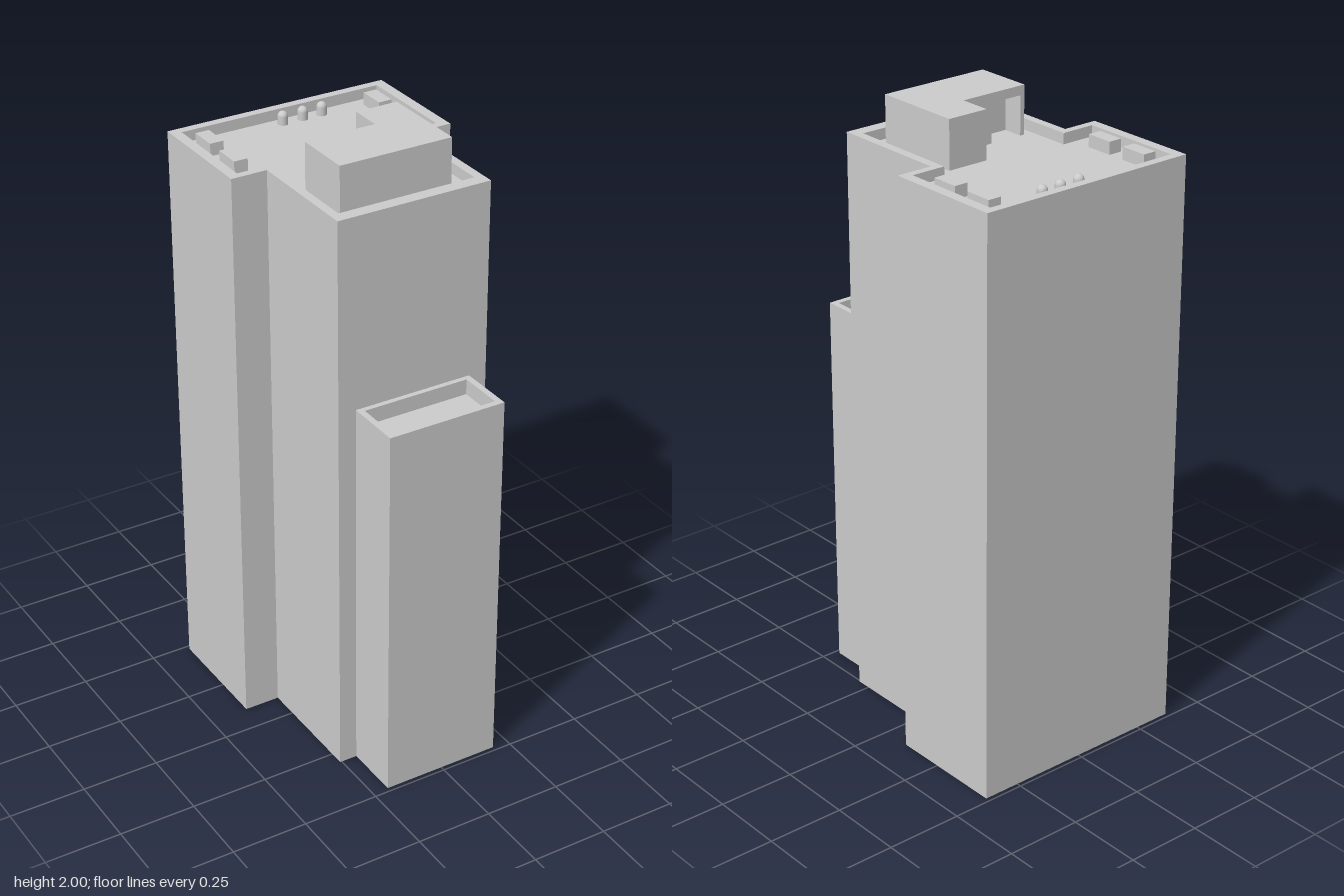
import * as THREE from 'three';

const material = new THREE.MeshStandardMaterial({ color: 0xcccccc, side: THREE.DoubleSide });

function add(parent, name, geometry, x = 0, y = 0, z = 0) {
  const mesh = new THREE.Mesh(geometry, material);
  mesh.name = name;
  mesh.position.set(x, y, z);
  parent.add(mesh);
  return mesh;
}

// Vertical walls along a plan path of [x, z] points, counterclockwise from above
function walls(path, y0, y1, closed = false) {
  const pos = [];
  const count = closed ? path.length : path.length - 1;
  for (let i = 0; i < count; i++) {
    const [ax, az] = path[i];
    const [bx, bz] = path[(i + 1) % path.length];
    pos.push(ax, y0, az, bx, y0, bz, bx, y1, bz, ax, y0, az, bx, y1, bz, ax, y1, az);
  }
  const g = new THREE.BufferGeometry();
  g.setAttribute('position', new THREE.Float32BufferAttribute(pos, 3));
  g.computeVertexNormals();
  return g;
}

const points = (path) => path.map(([x, z]) => new THREE.Vector2(x, -z));

// Horizontal surface from a plan path, with an optional hole
function slab(path, hole) {
  const shape = new THREE.Shape(points(path));
  if (hole) shape.holes.push(new THREE.Path(points(hole)));
  return new THREE.ShapeGeometry(shape).rotateX(-Math.PI / 2);
}

// Solid block raised from a plan path
function block(path, depth) {
  const shape = new THREE.Shape(points(path));
  return new THREE.ExtrudeGeometry(shape, { depth, bevelEnabled: false }).rotateX(-Math.PI / 2);
}

// Parapet rim, its inner faces and the sunken roof
function roof(parent, name, outer, inner, top, floor) {
  add(parent, name + 'ParapetTop', slab(outer, inner), 0, top, 0);
  add(parent, name + 'ParapetInside', walls([...inner].reverse(), floor, top, true));
  add(parent, name + 'Roof', slab(inner), 0, floor, 0);
}

export function createModel() {
  const group = new THREE.Group();
  group.name = 'towerBlock';
  const TOP = 1.88, FLOOR = 1.845, LOW_TOP = 1.26, LOW_FLOOR = 1.21;

  // Main T-shaped tower, open underneath and towards the front annex
  const outer = [
    [0.195, 0.298], [0.254, 0.298], [0.254, -0.095], [0.373, -0.095], [0.373, -0.485],
    [-0.373, -0.485], [-0.373, -0.095], [-0.256, -0.095], [-0.256, 0.298], [-0.197, 0.298],
  ];
  const inner = [
    [0.225, 0.256], [0.225, -0.12], [0.339, -0.12], [0.339, -0.457],
    [-0.34, -0.457], [-0.34, -0.12], [-0.228, -0.12], [-0.228, 0.256],
  ];
  const tower = new THREE.Group();
  tower.name = 'tower';
  group.add(tower);
  add(tower, 'towerWalls', walls(outer, 0, TOP));
  add(tower, 'upperFrontWall', walls([outer[9], outer[0]], LOW_FLOOR, TOP));
  roof(tower, 'tower', outer, inner, TOP, FLOOR);

  // Lower front annex
  const annexOuter = [[-0.197, 0.298], [-0.197, 0.485], [0.195, 0.485], [0.195, 0.298]];
  const annexInner = [[-0.177, 0.315], [-0.177, 0.465], [0.175, 0.465], [0.175, 0.315]];
  const annex = new THREE.Group();
  annex.name = 'frontAnnex';
  group.add(annex);
  add(annex, 'annexWalls', walls(annexOuter, 0, LOW_TOP));
  roof(annex, 'annex', annexOuter, annexInner, LOW_TOP, LOW_FLOOR);

  // L-shaped rooftop house with a recessed doorway at the back
  const house = new THREE.Group();
  house.name = 'rooftopHouse';
  group.add(house);
  const front = [[-0.197, 0.022], [-0.197, 0.213], [0.175, 0.213], [0.175, -0.082], [0.036, -0.082], [0.036, 0.022]];
  const doorway = [[-0.07, 0.022], [-0.07, 0.09], [-0.182, 0.09], [-0.182, 0.022]];
  const doorTop = 1.97;
  add(house, 'houseWalls', block([...front, ...doorway], doorTop - FLOOR), 0, FLOOR, 0);
  add(house, 'houseTop', block(front, 2 - doorTop), 0, doorTop, 0);

  // Rooftop service units, two on each wing
  for (const side of [1, -1]) {
    for (const z of [-0.375, -0.23]) {
      add(group, 'roofUnit', new THREE.BoxGeometry(0.045, 0.04, 0.09), side * 0.291, FLOOR + 0.02, z);
    }
  }

  // Row of domed vents along the back
  const profile = [new THREE.Vector2(0.016, 0)];
  for (let i = 0; i <= 6; i++) {
    const a = (i / 6) * Math.PI / 2;
    profile.push(new THREE.Vector2(0.016 * Math.cos(a), 0.026 + 0.016 * Math.sin(a)));
  }
  for (const x of [-0.014, 0.055, 0.122]) {
    add(group, 'roofVent', new THREE.LatheGeometry(profile, 20), x, FLOOR, -0.424);
  }
  return group;
}
